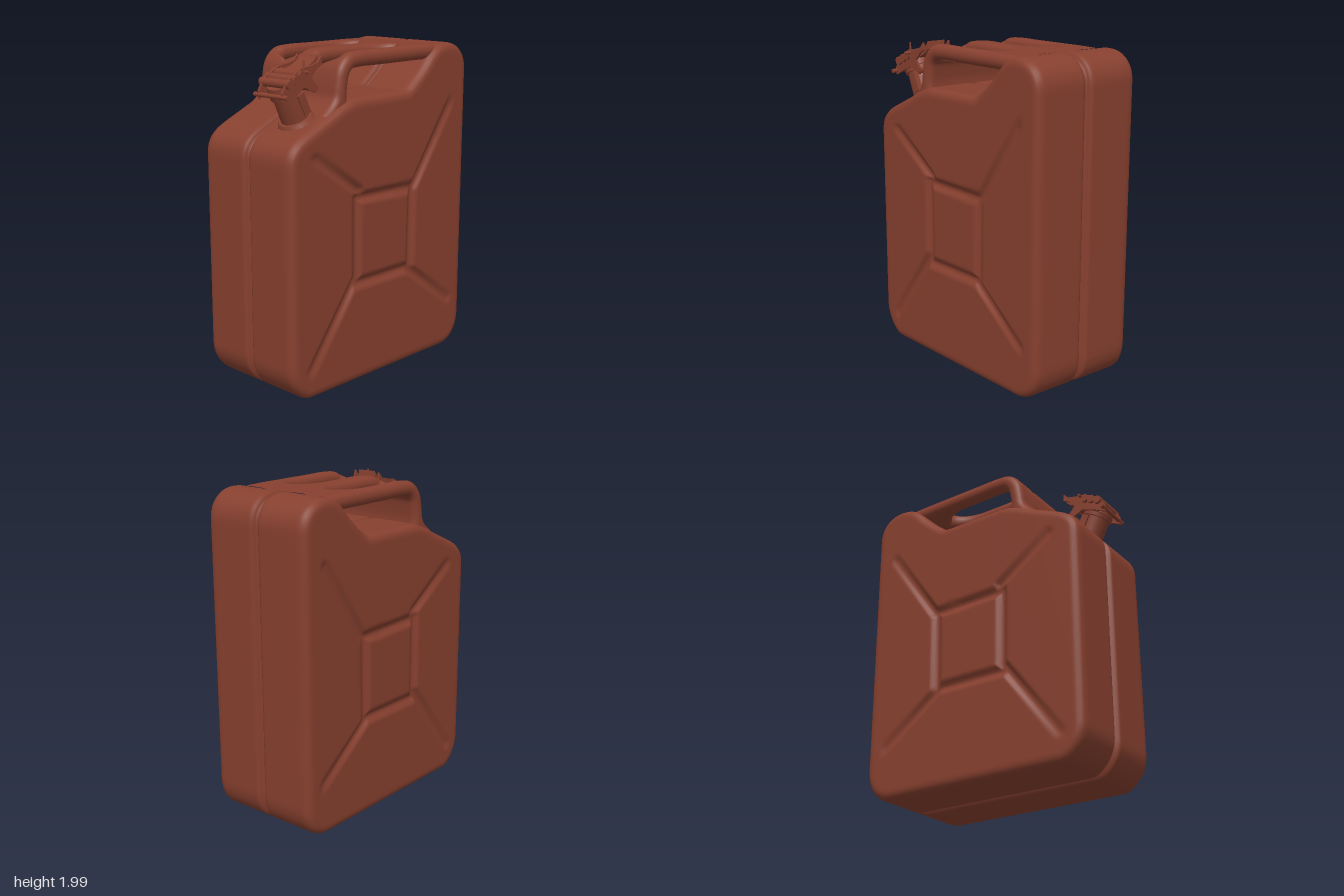
import * as THREE from 'three';

const paint = new THREE.MeshStandardMaterial({ color: 0x87402f });
paint.name = 'red brown paint';

const smooth = THREE.MathUtils.smoothstep;

// Skin over closed rings of [x, y, z] points, counter-clockwise along the travel
function loft(rings) {
  const n = rings[0].length, index = [];
  for (let i = 0; i < rings.length - 1; i++) {
    for (let j = 0; j < n; j++) {
      const k = (j + 1) % n;
      const a = i * n + j, b = i * n + k, c = a + n, d = b + n;
      index.push(a, c, d, a, d, b);
    }
  }
  const g = new THREE.BufferGeometry();
  g.setAttribute('position', new THREE.Float32BufferAttribute(rings.flat(2), 3));
  g.setIndex(index);
  g.computeVertexNormals();
  return g;
}

function add(parent, name, geometry, x = 0, y = 0, z = 0) {
  const m = new THREE.Mesh(geometry, paint);
  m.name = name;
  m.position.set(x, y, z);
  parent.add(m);
  return m;
}

// Pressed grooves of the side panels: [x0, y0, x1, y1, fades out]
const GROOVES = [
  [-0.24, 1.15, 0.25, 1.14, 0], [0.25, 1.14, 0.24, 0.63, 0],
  [0.24, 0.63, -0.24, 0.63, 0], [-0.24, 0.63, -0.24, 1.15, 0],
  [-0.22, 1.19, -0.57, 1.43, 1], [0.27, 1.15, 0.6, 1.62, 1],
  [-0.25, 0.66, -0.62, 0.18, 1], [0.24, 0.61, 0.62, 0.33, 1],
];
function grooveDepth(x, y) {
  let depth = 0;
  for (const [x0, y0, x1, y1, fade] of GROOVES) {
    const dx = x1 - x0, dy = y1 - y0;
    const t = THREE.MathUtils.clamp(((x - x0) * dx + (y - y0) * dy) / (dx * dx + dy * dy), 0, 1);
    const dist = Math.hypot(x - x0 - t * dx, y - y0 - t * dy);
    const d = 0.024 * (1 - 0.5 * fade * t) * (1 - smooth(dist, 0.006, 0.046));
    depth = Math.max(depth, d);
  }
  return depth;
}

function bodyGeometry() {
  // Side outline of the can
  const s = new THREE.Shape();
  s.moveTo(0, 0.005);
  s.lineTo(0.58, 0.005);
  s.bezierCurveTo(0.69, 0.01, 0.76, 0.09, 0.76, 0.22);
  s.lineTo(0.767, 1.82);
  s.bezierCurveTo(0.767, 1.93, 0.69, 1.995, 0.59, 1.997);
  s.bezierCurveTo(0.5, 1.997, 0.45, 1.96, 0.39, 1.89);
  s.quadraticCurveTo(0.34, 1.83, 0.21, 1.735);
  s.lineTo(-0.25, 1.73);
  s.quadraticCurveTo(-0.33, 1.715, -0.42, 1.665);
  s.lineTo(-0.61, 1.58);
  s.bezierCurveTo(-0.7, 1.54, -0.765, 1.5, -0.767, 1.4);
  s.lineTo(-0.77, 0.22);
  s.bezierCurveTo(-0.77, 0.12, -0.71, 0.05, -0.65, 0.015);
  s.quadraticCurveTo(-0.63, 0.005, -0.6, 0.005);
  s.lineTo(0, 0.005);
  const N = 260;
  const pts = s.getSpacedPoints(N).slice(0, N);
  const inset = (d) => pts.map((p, j) => {
    const t = pts[(j + 1) % N].clone().sub(pts[(j + N - 1) % N]).normalize();
    return [p.x - t.y * d, p.y + t.x * d];
  });

  // Panel rings from centre to rim, then the rounded shoulder and the seam channel
  const half = [];
  const rim = inset(0.05), cy = 0.9, steps = 56;
  for (let i = 0; i <= steps; i++) {
    const t = Math.max(i / steps, 0.0005);
    half.push(rim.map(([x, y]) => {
      const px = x * t, py = cy + (y - cy) * t;
      return [px, py, 0.372 - grooveDepth(px, py)];
    }));
  }
  const shoulder = [[0.032, 0.369], [0.016, 0.36], [0.005, 0.345], [0, 0.322], [0, 0.3],
    [0, 0.05], [0, 0.035], [0.006, 0.025], [0.02, 0.018], [0.034, 0.012], [0.036, 0.004]];
  for (const [d, z] of shoulder) half.push(inset(d).map(([x, y]) => [x, y, z]));
  const back = half.slice().reverse().map((r) => r.map(([x, y, z]) => [x, y, -z]));
  return loft([...half, ...back]);
}

// Half width of the gap between two grips
function gap(x) {
  if (x > 0.33) return -0.04;
  const start = smooth(x, -0.3, -0.255);
  const end = x < 0.12 ? 1 : Math.sqrt(1 - ((x - 0.12) / 0.21) ** 2);
  return -0.04 + 0.127 * start * end;
}

// One grip; range(gap) gives its two z limits
function gripGeometry(range) {
  const path = new THREE.CatmullRomCurve3([
    [-0.35, 1.62], [-0.325, 1.72], [-0.313, 1.81], [-0.292, 1.89], [-0.245, 1.937],
    [-0.17, 1.948], [0, 1.948], [0.2, 1.948], [0.36, 1.948], [0.52, 1.945],
  ].map(([x, y]) => new THREE.Vector3(x, y, 0)));
  const rings = [], M = 24, steps = 90;
  for (let i = 0; i <= steps; i++) {
    const p = path.getPointAt(i / steps), t = path.getTangentAt(i / steps);
    const h = 0.046 + 0.05 * Math.max(0, (1.77 - p.y) / 0.12) ** 2;
    const [z0, z1] = range(gap(p.x));
    const w = (z1 - z0) / 2, r = Math.min(h, w, 0.042);
    const ring = [];
    for (let j = 0; j < M; j++) {
      // Rounded rectangle: six points on each corner
      const q = Math.floor(j / 6), a = (q + (j % 6) / 5) * Math.PI / 2;
      const sz = q === 0 || q === 3 ? 1 : -1, sn = q < 2 ? 1 : -1;
      const z = sz * (w - r) + r * Math.cos(a), n = sn * (h - r) + r * Math.sin(a);
      ring.push([p.x - t.y * n, p.y + t.x * n, (z0 + z1) / 2 + z]);
    }
    rings.push(ring);
  }
  return loft(rings);
}

// Tilted pouring neck with its clamped cap
function makeSpout() {
  const spout = new THREE.Group();
  spout.name = 'spout';
  spout.position.set(-0.53, 1.62, 0.165);
  spout.rotation.z = 0.45;
  const disc = (name, r0, r1, h, y, sides = 28) =>
    add(spout, name, new THREE.CylinderGeometry(r0, r1, h, sides), 0, y, 0);
  const rod = (name, r, len, x, y) =>
    add(spout, name, new THREE.CylinderGeometry(r, r, len, 14).rotateX(Math.PI / 2), x, y, 0);

  disc('neckFlange', 0.1, 0.118, 0.03, 0.005, 12);
  disc('neck', 0.078, 0.084, 0.2, 0.09);
  disc('neckCollar', 0.092, 0.092, 0.025, 0.185);
  disc('cap', 0.085, 0.095, 0.05, 0.225);
  add(spout, 'neckStrap', new THREE.BoxGeometry(0.05, 0.13, 0.18), 0.03, 0.1, 0);

  // Clamp side plates
  const side = new THREE.Shape();
  [[-0.115, 0.2], [-0.02, 0.2], [0.06, 0.19], [0.12, 0.12], [0.15, 0.14], [0.13, 0.21],
    [0.19, 0.235], [0.235, 0.235], [0.25, 0.28], [0.21, 0.262], [0.15, 0.275], [0.09, 0.295],
    [-0.03, 0.29], [-0.1, 0.245]].forEach(([x, y], i) => (i ? side.lineTo(x, y) : side.moveTo(x, y)));
  const plate = new THREE.ExtrudeGeometry(side, { depth: 0.014, bevelEnabled: false });
  for (const z of [-0.102, 0.088]) add(spout, 'clampPlate', plate, 0, 0, z);

  // Cross rods and hinge pins
  rod('hingePin', 0.013, 0.27, -0.1, 0.222);
  for (const x of [-0.035, 0.015, 0.065]) rod('clampRoll', 0.026, 0.24, x, 0.265);
  rod('leverPin', 0.009, 0.29, 0.095, 0.27);
  rod('lockPin', 0.018, 0.2, 0.135, 0.14);

  // Curved lever tongue
  const tongue = new THREE.Shape();
  tongue.moveTo(0.07, 0.24);
  tongue.quadraticCurveTo(0.18, 0.215, 0.235, 0.24);
  tongue.lineTo(0.252, 0.285);
  tongue.quadraticCurveTo(0.2, 0.245, 0.07, 0.28);
  add(spout, 'lever', new THREE.ExtrudeGeometry(tongue, { depth: 0.13, bevelEnabled: false }), 0, 0, -0.065);
  const pin = add(spout, 'safetyPin', new THREE.CylinderGeometry(0.006, 0.006, 0.1, 8), 0.1, 0.285, 0.1);
  pin.rotation.z = -0.45;
  return spout;
}

export function createModel() {
  const model = new THREE.Group();
  model.name = 'fuelCan';
  add(model, 'body', bodyGeometry());

  // Three parallel grips
  const grips = new THREE.Group();
  grips.name = 'handle';
  add(grips, 'frontGrip', gripGeometry((g) => [0.155 + g, 0.337]));
  add(grips, 'middleGrip', gripGeometry((g) => [-0.155 + g, 0.155 - g]));
  add(grips, 'backGrip', gripGeometry((g) => [-0.337, -0.155 - g]));
  model.add(grips);

  model.add(makeSpout());
  return model;
}
